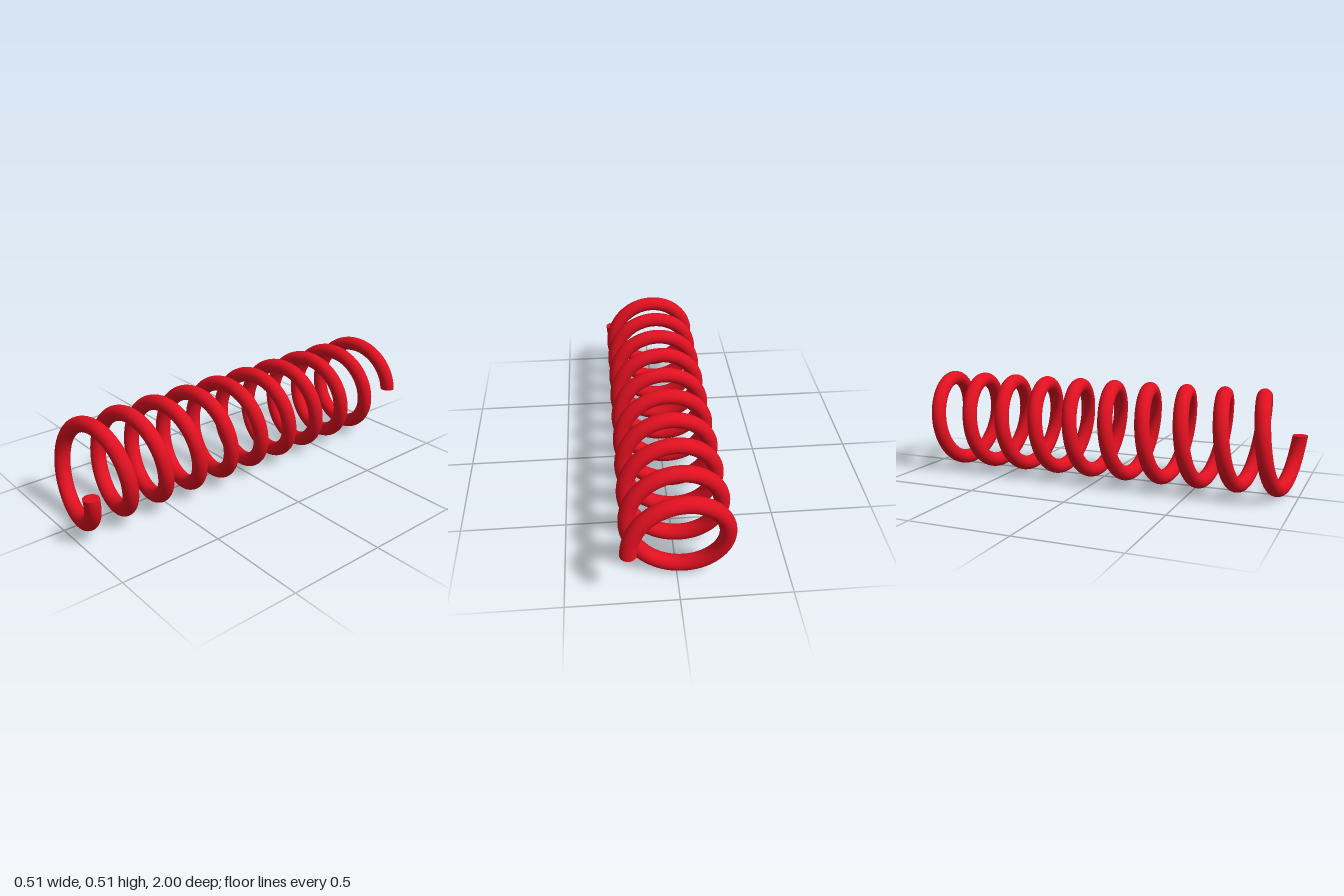
import * as THREE from 'three';
import { ParametricGeometry } from 'three/addons/geometries/ParametricGeometry.js';

const TURNS = 10;
const WIRE = 0.0375;            // wire radius
const COIL = 0.2175;            // coil radius to wire centre
const HALF = 1 - WIRE;          // half length between wire centres
const CENTRE_Y = COIL + WIRE;

export function createModel() {
  const group = new THREE.Group();
  group.name = 'coilSpring';
  const material = new THREE.MeshStandardMaterial({ color: 0xe01020 });

  // Wire: a circle in the radial plane swept along the helix
  const sweep = (u, v, target) => {
    const turn = u * TURNS * Math.PI * 2;
    const around = v * Math.PI * 2;
    const radius = COIL + WIRE * Math.cos(around);
    target.set(
      radius * Math.cos(turn),
      CENTRE_Y - radius * Math.sin(turn),
      HALF - 2 * HALF * u - WIRE * Math.sin(around)
    );
  };
  const wire = new THREE.Mesh(new ParametricGeometry(sweep, TURNS * 72, 32), material);
  wire.name = 'coil';
  group.add(wire);

  // Flat cut ends: the front one faces up, the back one faces down
  for (const [name, side] of [['frontEnd', 1], ['backEnd', -1]]) {
    const cap = new THREE.Mesh(new THREE.CircleGeometry(WIRE, 32), material);
    cap.name = name;
    cap.rotation.x = -side * Math.PI / 2;
    cap.position.set(COIL, CENTRE_Y, side * HALF);
    group.add(cap);
  }
  return group;
}
